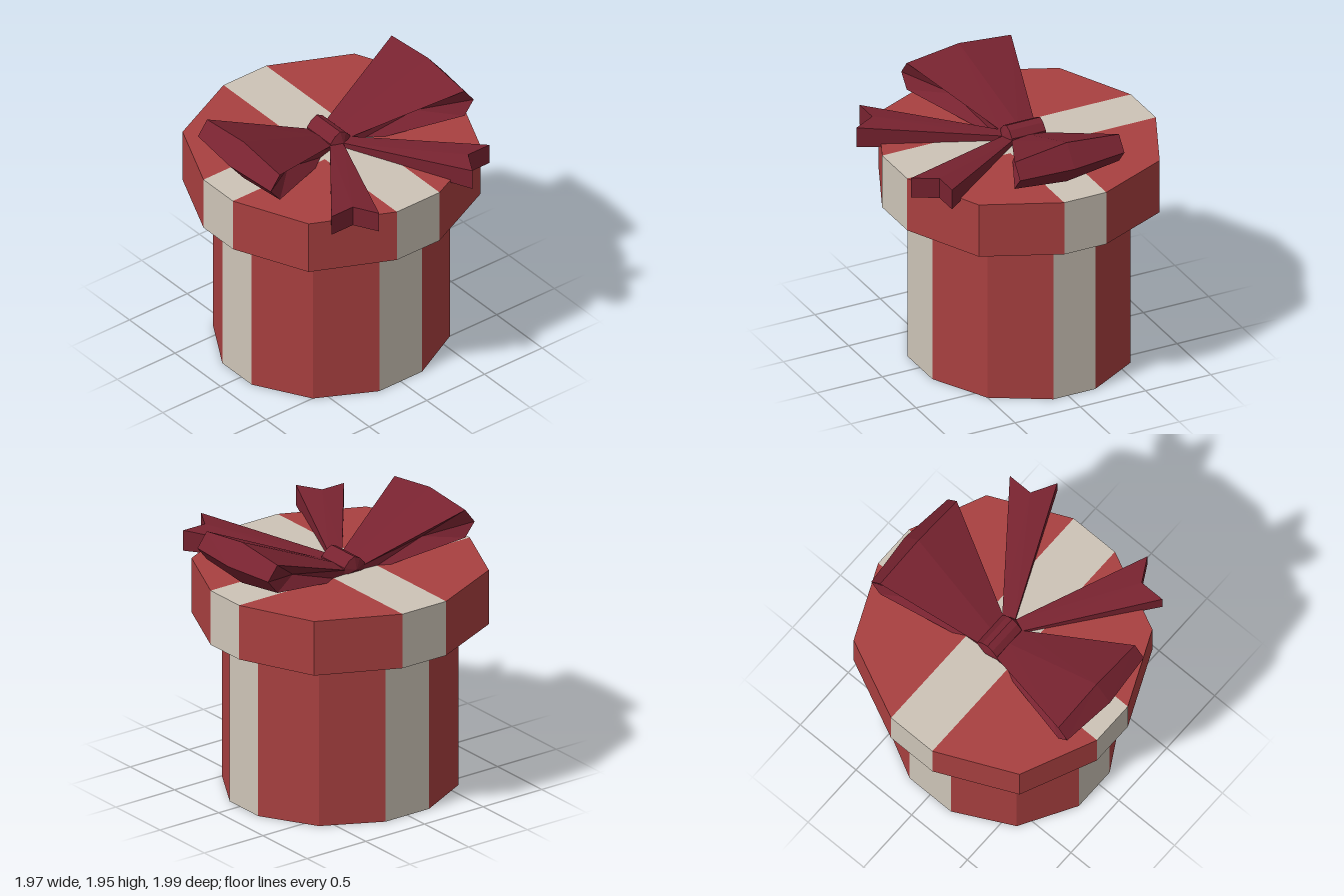
import * as THREE from 'three';
import { ConvexGeometry } from 'three/addons/geometries/ConvexGeometry.js';

const mat = (name, color) => {
  const m = new THREE.MeshStandardMaterial({ color, flatShading: true });
  m.name = name;
  return m;
};

// Collects flat polygons (fan triangulated, counter-clockwise); flip reverses them for mirrored parts
function faceSet(flip = false) {
  const pos = [];
  return {
    add(...pts) {
      const p = flip ? [...pts].reverse() : pts;
      // keep the first corner as the fan origin
      if (flip) p.unshift(p.pop());
      for (let i = 1; i < p.length - 1; i++) pos.push(...p[0], ...p[i], ...p[i + 1]);
    },
    mesh(name, material) {
      const g = new THREE.BufferGeometry();
      g.setAttribute('position', new THREE.Float32BufferAttribute(pos, 3));
      g.computeVertexNormals();
      const m = new THREE.Mesh(g, material);
      m.name = name;
      return m;
    },
  };
}

// Twelve-sided prism whose four axis faces and cap cross are ribbon coloured
function wrappedPrism(name, quarter, y0, y1, paper, ribbon) {
  const zc = -0.047;
  const w = quarter[0][0], h = quarter[2][1];
  const ring = [], inner = [];
  [[1, 1], [1, -1], [-1, -1], [-1, 1]].forEach(([sx, sz], q) => {
    const pts = quarter.map(([x, z]) => [sx * x, sz * z + zc]);
    ring.push(...(q % 2 ? pts.reverse() : pts));
    inner.push([sx * w, sz * h + zc]);
  });
  const red = faceSet(), cream = faceSet();
  const at = (p, y) => [p[0], y, p[1]];
  const caps = (set, pts) => {
    set.add(...pts.map(p => at(p, y1)));
    set.add(...[...pts].reverse().map(p => at(p, y0)));
  };
  for (let i = 0; i < 12; i++) {
    const p = ring[i], q = ring[(i + 1) % 12];
    (i % 3 === 2 ? cream : red).add(at(p, y0), at(q, y0), at(q, y1), at(p, y1));
  }
  for (let q = 0; q < 4; q++) {
    const i = q * 3;
    caps(red, [ring[i], ring[i + 1], ring[i + 2], inner[q]]);
    caps(cream, [ring[i + 2], ring[(i + 3) % 12], inner[(q + 1) % 4], inner[q]]);
  }
  caps(cream, inner);
  const g = new THREE.Group();
  g.name = name;
  g.add(red.mesh(name + 'Paper', paper), cream.mesh(name + 'Ribbon', ribbon));
  return g;
}

// Bow loop: three sections across z, with sunken ends
function bowLoop(s, material) {
  const f = faceSet(s < 0);
  const section = (zIn, zOut, xMid, yIn, top, mid, bot) => [
    [0.08, yIn, zIn], [0.8, top, zOut], [xMid, mid, zOut], [0.8, bot, zOut], [0.08, 1.56, zIn],
  ].map(([x, y, z]) => [s * x, y, z]);
  const rows = [
    section(0.05, 0.4, 0.88, 1.63, 1.895, 1.79, 1.69),
    section(-0.08, 0, 0.92, 1.645, 1.95, 1.8, 1.65),
    section(-0.21, -0.4, 0.88, 1.63, 1.915, 1.81, 1.71),
  ];
  for (let r = 0; r < 2; r++)
    for (let i = 0; i < 4; i++)
      f.add(rows[r][i], rows[r][i + 1], rows[r + 1][i + 1], rows[r + 1][i]);
  const front = [s * 0.55, 1.72, 0.17], back = [s * 0.55, 1.73, -0.24];
  for (let i = 0; i < 5; i++) {
    const j = (i + 1) % 5;
    f.add(front, rows[0][j], rows[0][i]);
    f.add(back, rows[2][i], rows[2][j]);
  }
  return f.mesh(s > 0 ? 'leftBowLoop' : 'rightBowLoop', material);
}

// Ribbon tail: wedge that thickens towards its notched end
function bowTail(s, material) {
  const f = faceSet(s < 0);
  // x, z, top, bottom, starting at the notch
  const outline = [
    [0.5, 0.82, 1.73, 1.58], [0.685, 0.82, 1.73, 1.58], [0.09, 0.05, 1.635, 1.57],
    [0, 0.08, 1.635, 1.57], [0.405, 0.99, 1.73, 1.58],
  ];
  const top = outline.map(([x, z, t]) => [s * x, t, z]);
  const bottom = outline.map(([x, z, , b]) => [s * x, b, z]);
  f.add(...top);
  f.add(bottom[0], ...bottom.slice(1).reverse());
  for (let i = 0; i < 5; i++) {
    const j = (i + 1) % 5;
    f.add(bottom[i], bottom[j], top[j], top[i]);
  }
  return f.mesh(s > 0 ? 'leftBowTail' : 'rightBowTail', material);
}

// Knot: small arch along z with pointed ends
function bowKnot(material) {
  const arch = [[-0.085, 1.59], [-0.085, 1.645], [-0.045, 1.69], [0, 1.71], [0.045, 1.69], [0.085, 1.645], [0.085, 1.59]];
  const pts = [new THREE.Vector3(0, 1.62, 0.09), new THREE.Vector3(0, 1.62, -0.235)];
  for (const z of [0.05, -0.21]) for (const [x, y] of arch) pts.push(new THREE.Vector3(x, y, z));
  const m = new THREE.Mesh(new ConvexGeometry(pts), material);
  m.name = 'bowKnot';
  return m;
}

export function createModel() {
  const paper = mat('red paper', 0xa94040);
  const ribbon = mat('cream ribbon', 0xcdc4b7);
  const bowRed = mat('dark red bow', 0x782330);

  const model = new THREE.Group();
  model.name = 'giftBox';
  model.add(
    wrappedPrism('box', [[0.185, 0.76], [0.595, 0.548], [0.82, 0.161]], 0, 1.2, paper, ribbon),
    wrappedPrism('lid', [[0.185, 0.953], [0.745, 0.693], [0.983, 0.161]], 1.2, 1.6, paper, ribbon),
  );

  const bow = new THREE.Group();
  bow.name = 'bow';
  for (const s of [1, -1]) bow.add(bowLoop(s, bowRed), bowTail(s, bowRed));
  bow.add(bowKnot(bowRed));
  model.add(bow);
  return model;
}
